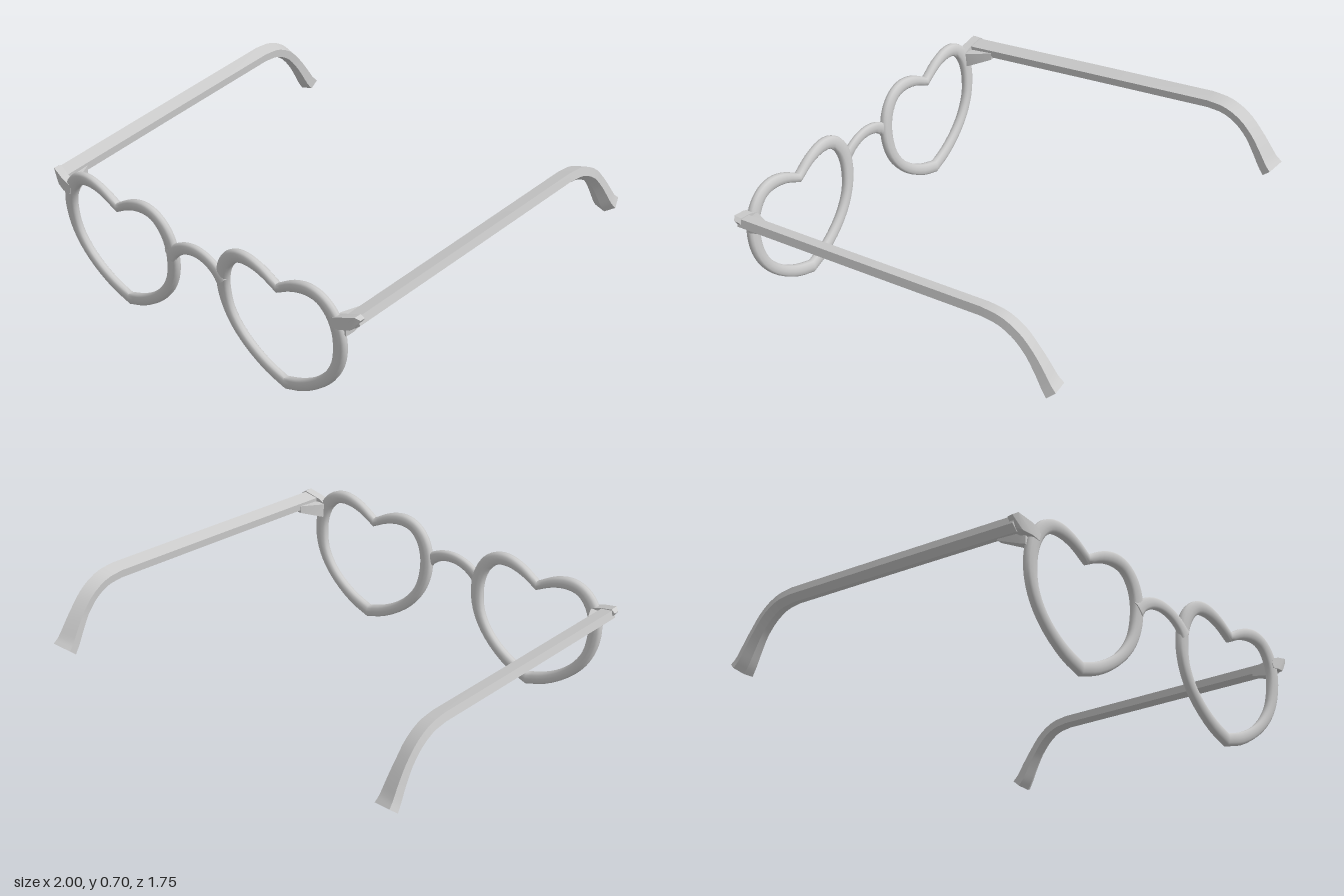
import * as THREE from 'three';
import { toCreasedNormals } from 'three/addons/utils/BufferGeometryUtils.js';

const V = (x, y, z) => new THREE.Vector3(x, y, z);
const material = new THREE.MeshStandardMaterial({ color: 0xcccccc });

// Skin a list of cross-section rings; closed joins last to first, otherwise ends are capped.
function loft(rings, closed, crease) {
  const n = rings[0].length, m = rings.length, pts = rings.flat(), tris = [];
  for (let i = 0; i < (closed ? m : m - 1); i++) {
    for (let j = 0; j < n; j++) {
      const k = (j + 1) % n, i2 = (i + 1) % m;
      const a = i * n + j, b = i * n + k, c = i2 * n + k, d = i2 * n + j;
      tris.push([a, b, c], [a, c, d]);
    }
  }
  if (!closed) {
    const e = (m - 1) * n;
    for (let j = 1; j < n - 1; j++) tris.push([0, j + 1, j], [e, e + j, e + j + 1]);
  }
  // a negative enclosed volume means the faces point inward
  let volume = 0;
  for (const [a, b, c] of tris) volume += pts[a].dot(V(0, 0, 0).crossVectors(pts[b], pts[c]));
  const out = [];
  for (const [a, b, c] of tris)
    for (const i of volume < 0 ? [a, c, b] : [a, b, c]) out.push(pts[i].x, pts[i].y, pts[i].z);
  const geo = new THREE.BufferGeometry();
  geo.setAttribute('position', new THREE.Float32BufferAttribute(out, 3));
  return toCreasedNormals(geo, crease);
}

// Soft-cornered unit section
const SOFT = Array.from({ length: 12 }, (_, i) => {
  const a = (i / 12) * Math.PI * 2, r = v => Math.sign(v) * Math.abs(v) ** 0.75;
  return [r(Math.cos(a)), r(Math.sin(a))];
});

const spline = pts => new THREE.CatmullRomCurve3(pts.map(p => V(p[0], p[1], p[2] || 0)));
const frontZ = y => 0.805 + 0.085 * y; // forward lean of the lens rims

// Half outlines of the heart, from top notch to bottom point
const OUTER = spline([[0, 0.555], [0.09, 0.607], [0.18, 0.63], [0.255, 0.617], [0.315, 0.575], [0.355, 0.51],
  [0.372, 0.42], [0.36, 0.32], [0.315, 0.22], [0.23, 0.125], [0.11, 0.045], [0, 0.005]]);
const INNER = spline([[0, 0.508], [0.09, 0.553], [0.17, 0.57], [0.23, 0.56], [0.275, 0.515], [0.3, 0.45],
  [0.304, 0.38], [0.288, 0.29], [0.24, 0.21], [0.175, 0.15], [0.09, 0.1], [0, 0.067]]);

function rimGeometry(s) {
  const rings = [], N = 33;
  const ring = (t, side) => {
    const o = OUTER.getPoint(t), i = INNER.getPoint(t);
    const mid = o.clone().add(i).multiplyScalar(0.5), half = o.clone().sub(i).multiplyScalar(0.5);
    return SOFT.map(([c, d]) => {
      const y = mid.y + half.y * c;
      return V(s * 0.495 + side * (mid.x + half.x * c), y, frontZ(y) + 0.021 * d);
    });
  };
  for (let k = 0; k < N; k++) rings.push(ring(k / N, 1));
  for (let k = N; k > 0; k--) rings.push(ring(k / N, -1));
  return loft(rings, true, 0.9);
}

// Arched bridge, thicker where it meets the rims
function bridgeGeometry() {
  const curve = spline([[-0.165, 0.42], [-0.13, 0.455], [-0.07, 0.49], [0, 0.503],
    [0.07, 0.49], [0.13, 0.455], [0.165, 0.42]]);
  const rings = [];
  for (let k = 0; k <= 20; k++) {
    const p = curve.getPoint(k / 20), t = curve.getTangent(k / 20);
    const h = 0.027 + 0.012 * Math.abs(k / 10 - 1) ** 3;
    rings.push(SOFT.map(([c, d]) => V(p.x - t.y * h * c, p.y + t.x * h * c, 0.849 + 0.017 * d)));
  }
  return loft(rings, false, 0.9);
}

// Ridged temple arm that curves down behind the ear and widens at the tip
const ARM = [[0.028, 0.033], [0.038, -0.006], [0.008, -0.033], [-0.034, -0.022], [-0.036, 0.016]];
function armGeometry(s) {
  const bend = spline([[0.94, 0.672, -0.5], [0.942, 0.666, -0.59], [0.943, 0.628, -0.67],
    [0.944, 0.565, -0.733], [0.944, 0.495, -0.782], [0.945, 0.435, -0.82], [0.946, 0.407, -0.845]]);
  const path = [V(0.898, 0.535, 0.835), V(0.92, 0.604, 0.165)];
  for (let k = 0; k <= 16; k++) path.push(bend.getPoint(k / 16));
  const last = path.length - 1;
  const rings = path.map((p, i) => {
    const t = path[Math.min(i + 1, last)].clone().sub(path[Math.max(i - 1, 0)]).normalize();
    const flare = Math.max(0, (i - 10) / (last - 10)), w = 1 + 0.4 * flare, h = 1 + 0.3 * flare;
    const len = Math.hypot(t.y, t.z);
    return ARM.map(([u, v]) => V(s * (p.x + u * w), p.y - (t.z / len) * v * h, p.z + (t.y / len) * v * h));
  });
  return loft(rings, false, 0.5);
}

// End piece joining rim and arm: sections run outward, with a slanted outer end
function endPieceGeometry(s) {
  const rows = [ // bottom x, top x, bottom y, top y, middle z
    [0.81, 0.8, 0.485, 0.53, 0.85], [0.85, 0.85, 0.492, 0.55, 0.852],
    [0.9, 0.925, 0.503, 0.575, 0.838], [0.913, 0.945, 0.512, 0.562, 0.829]];
  return loft(rows.map(([xb, xt, yb, yt, z], i) => {
    const d = i === 3 ? 0.014 : 0.02;
    return [V(s * xb, yb, z - d), V(s * xb, yb, z + d), V(s * xt, yt, z + d), V(s * xt, yt, z - d)];
  }), false, 0.4);
}

// Tapered hinge brace behind the rim
function braceGeometry(s) {
  const quad = (x0, x1, y0, y1, z) => [V(s * x0, y0, z), V(s * x1, y0, z), V(s * x1, y1, z), V(s * x0, y1, z)];
  return loft([quad(0.81, 0.87, 0.455, 0.53, 0.845), quad(0.815, 0.88, 0.465, 0.535, 0.815),
    quad(0.865, 0.895, 0.512, 0.55, 0.71)], false, 0.4);
}

export function createModel() {
  const model = new THREE.Group();
  model.name = 'heartGlasses';
  const add = (name, geometry) => {
    const mesh = new THREE.Mesh(geometry, material);
    mesh.name = name;
    model.add(mesh);
  };
  add('bridge', bridgeGeometry());
  for (const [side, s] of [['left', 1], ['right', -1]]) {
    add(side + 'Rim', rimGeometry(s));
    add(side + 'EndPiece', endPieceGeometry(s));
    add(side + 'HingeBrace', braceGeometry(s));
    add(side + 'TempleArm', armGeometry(s));
  }
  return model;
}
